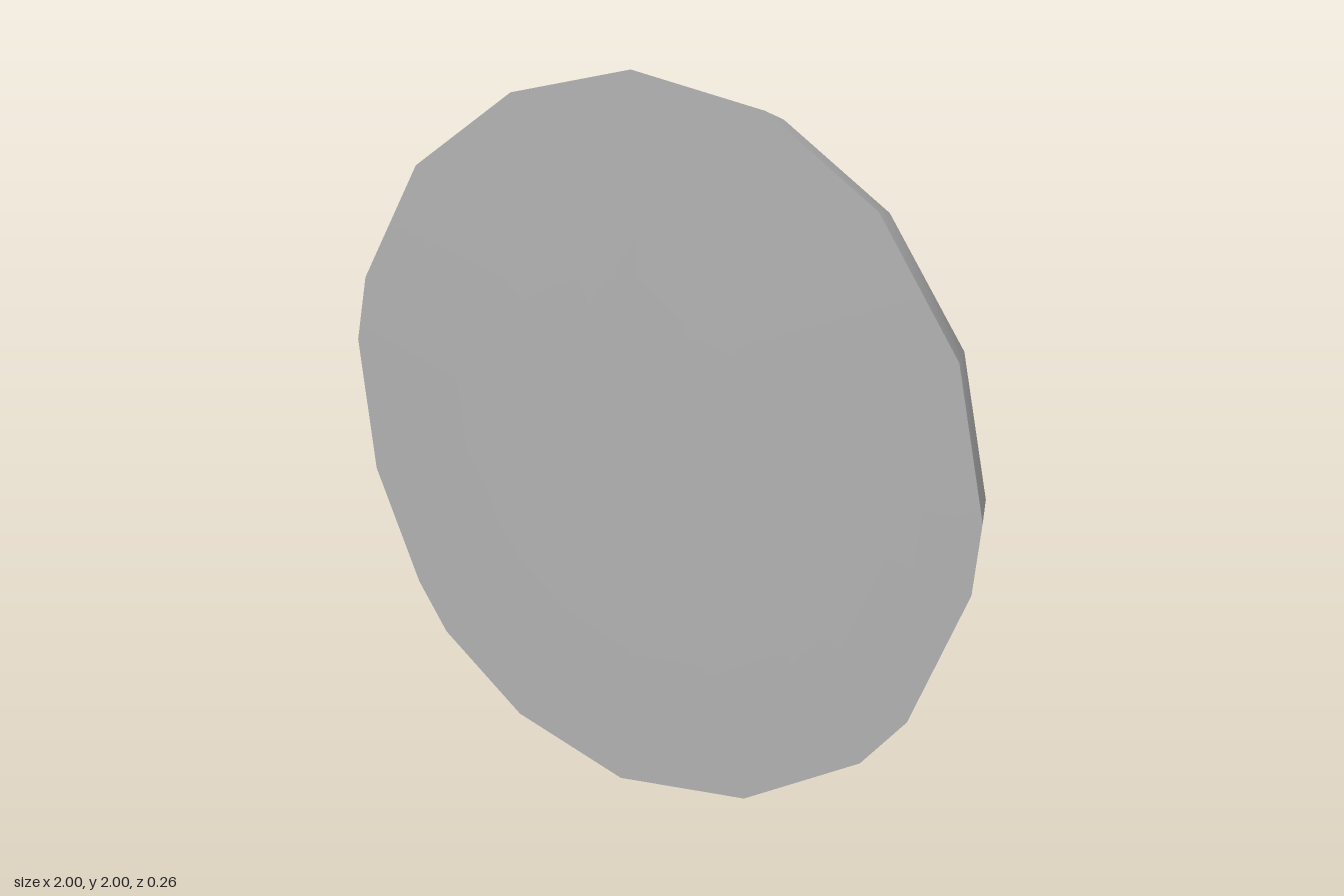
import * as THREE from 'three';

// Hand-cut rim outline, clockwise as seen from the front
const RIM = [
  [-0.04, 2.0], [0.36, 1.92], [0.69, 1.70], [0.92, 1.36], [1.0, 0.97], [0.98, 0.78],
  [0.82, 0.40], [0.69, 0.25], [0.34, 0.05], [-0.07, 0.0], [-0.43, 0.11], [-0.70, 0.31],
  [-0.80, 0.45], [-0.95, 0.78], [-1.0, 1.17], [-0.96, 1.36], [-0.76, 1.70], [-0.43, 1.92],
];

// The plate leans back a little near its top
const lean = (y) => -0.025 * THREE.MathUtils.smoothstep(y, 1.5, 2.0);

// A ring of points: the rim scaled about a new centre, with depth given by a rule
function ring(cx, cy, rx, ry, depth) {
  return RIM.map(([x, y]) => {
    const px = cx + x * rx, py = cy + (y - 1) * ry;
    return new THREE.Vector3(px, py, depth(px, py));
  });
}

function build(points, index) {
  const geometry = new THREE.BufferGeometry().setFromPoints(points);
  geometry.setIndex(index);
  geometry.computeVertexNormals();
  return geometry;
}

// Smooth sloping wall between a front ring and a back ring
function wall(front, back) {
  const n = front.length, index = [];
  for (let i = 0; i < n; i++) {
    const j = (i + 1) % n;
    index.push(i, j, n + i, j, n + j, n + i);
  }
  return build([...front, ...back], index);
}

// Flat-ish cap fanned from a centre point
function cap(points, centre, facesFront) {
  const n = points.length, index = [];
  for (let i = 0; i < n; i++) {
    const j = (i + 1) % n;
    index.push(n, ...(facesFront ? [j, i] : [i, j]));
  }
  return build([...points, centre], index);
}

export function createModel() {
  const grey = new THREE.MeshStandardMaterial({ color: 0xb0b0b0 });
  grey.name = 'grey';
  const model = new THREE.Group();
  model.name = 'steppedDisc';
  const add = (name, geometry) => {
    const mesh = new THREE.Mesh(geometry, grey);
    mesh.name = name;
    model.add(mesh);
  };

  // Wide plate, narrower at the back
  const plateFront = ring(0, 1, 1, 1, (x, y) => 0.13 + lean(y));
  const plateBack = ring(0, 1.015, 0.95, 0.945, (x, y) => lean(y));
  add('plateFront', cap(plateFront, new THREE.Vector3(0, 1, 0.13), true));
  add('plateRim', wall(plateFront, plateBack));
  add('plateBack', cap(plateBack, new THREE.Vector3(0, 1, 0), false));

  // Smaller raised disc on the back, set above centre and thicker towards +x
  const discDepth = (x) => -0.11 - 0.025 * Math.max(0, (x - 0.18) / 0.54);
  const discBase = ring(0.03, 1.15, 0.72, 0.69, () => 0.005);
  const discBack = ring(0.03, 1.155, 0.69, 0.665, discDepth);
  add('raisedDiscRim', wall(discBase, discBack));
  add('raisedDiscBack', cap(discBack, new THREE.Vector3(0.03, 1.155, -0.112), false));
  return model;
}
